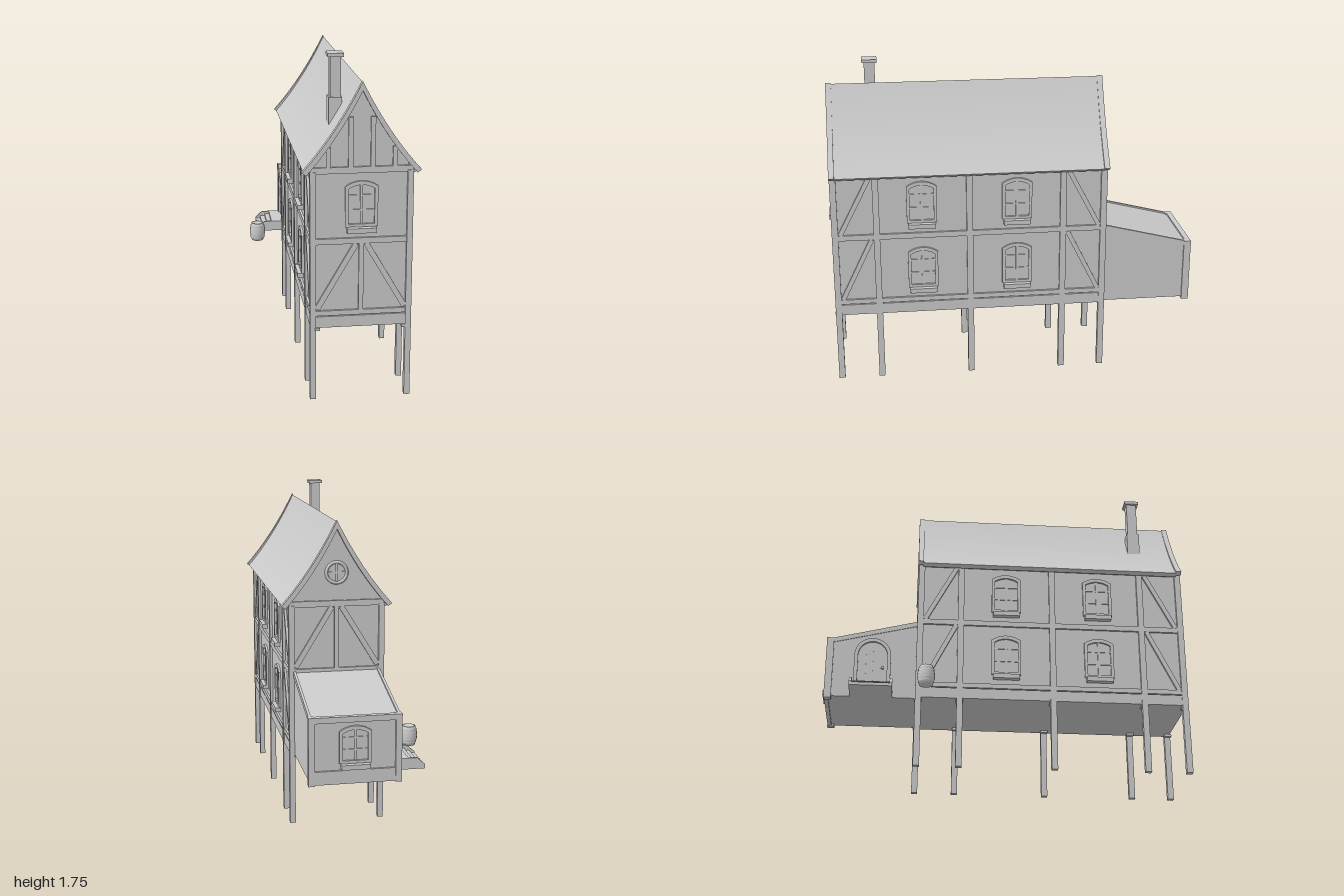
import * as THREE from 'three';
import { toCreasedNormals } from 'three/addons/utils/BufferGeometryUtils.js';

const mat = new THREE.MeshStandardMaterial({ color: 0xcccccc, side: THREE.DoubleSide });
const V = (x, y) => new THREE.Vector2(x, y);

function add(parent, name, geo) {
  const m = new THREE.Mesh(geo, mat);
  m.name = name;
  parent.add(m);
  return m;
}
// box given by its limits on each axis
function box(parent, name, x0, x1, y0, y1, z0, z1) {
  const m = add(parent, name, new THREE.BoxGeometry(x1 - x0, y1 - y0, z1 - z0));
  m.position.set((x0 + x1) / 2, (y0 + y1) / 2, (z0 + z1) / 2);
  return m;
}
function extrude(parent, name, shape, z0, z1) {
  const g = new THREE.ExtrudeGeometry(shape, { depth: z1 - z0, bevelEnabled: false, curveSegments: 16 });
  const m = add(parent, name, toCreasedNormals(g, 0.5));
  m.position.z = z0;
  return m;
}
// slanted timber between two points of a wall plane
function brace(parent, ax, ay, bx, by, w = 0.025) {
  const m = add(parent, 'brace', new THREE.BoxGeometry(w, Math.hypot(bx - ax, by - ay), 0.025));
  m.position.set((ax + bx) / 2, (ay + by) / 2, 0);
  m.rotation.z = -Math.atan2(bx - ax, by - ay);
}
// wall-plane group: local x along the wall, local z outwards
function face(parent, name, x, z, turn) {
  const g = new THREE.Group();
  g.name = name;
  g.position.set(x, 0, z);
  g.rotation.y = turn;
  parent.add(g);
  return g;
}
// opening with an arched head, base at y = 0
function arch(path, w, h, rise) {
  path.moveTo(-w, 0);
  path.lineTo(w, 0);
  path.lineTo(w, h - rise);
  const r = (w * w + rise * rise) / (2 * rise), a = Math.asin(Math.min(1, w / r));
  path.absarc(0, h - r, r, Math.PI / 2 - a, Math.PI / 2 + a, false);
  path.lineTo(-w, 0);
  return path;
}
function windowUnit(parent, x, y, h = 0.235) {
  const g = face(parent, 'window', x, 0, 0);
  g.position.y = y;
  const ring = arch(new THREE.Shape(), 0.082, h, 0.028);
  const hole = arch(new THREE.Path(), 0.065, h - 0.035, 0.02);
  hole.curves.forEach(() => {});
  ring.holes.push(new THREE.Path(hole.getPoints(12).map(p => V(p.x, p.y + 0.015))));
  extrude(g, 'windowFrame', ring, -0.012, 0.012);
  extrude(g, 'windowPane', arch(new THREE.Shape(), 0.072, h - 0.01, 0.025), -0.012, -0.002);
  box(g, 'mullion', -0.007, 0.007, 0.01, h - 0.02, -0.005, 0.007);
  for (const k of [0.36, 0.68]) box(g, 'glazingBar', -0.066, 0.066, h * k - 0.004, h * k + 0.004, -0.005, 0.005);
  box(g, 'windowSill', -0.074, 0.074, -0.028, -0.003, -0.012, 0.032);
}

function createModel() {
  const model = new THREE.Group();
  model.name = 'stiltHouse';
  const house = face(model, 'mainHouse', 0.075, 0, 0);
  const H = 0.243, O = 0.258;
  const postZ = [0.982, 0.757, 0.25, -0.265, -0.49];

  // Main body and timber belts
  box(house, 'walls', -H, H, 0.4, 1.22, -0.49, 0.982);
  box(house, 'groundBeam', -O + 0.004, O - 0.004, 0.388, 0.447, -0.5, 0.992);
  for (const s of [-1, 1]) {
    for (const z of postZ) {
      const a = s * (O - 0.03), b = s * O;
      box(house, 'stiltPost', Math.min(a, b), Math.max(a, b), 0, 1.2, z - 0.017, z + 0.017);
      const c = s * 0.22;
      box(house, 'joistEnd', c - 0.012, c + 0.012, 0.375, 0.39, z - 0.02, z + 0.02);
    }
  }
  for (const [y0, y1] of [[0.452, 0.478], [0.828, 0.858], [1.19, 1.222]])
    box(house, 'beltBeam', -O + 0.003, O - 0.003, y0, y1, -0.502, 0.994);

  // Long sides: windows in the middle bays, braces in the end bays
  for (const s of [-1, 1]) {
    const f = face(house, s > 0 ? 'leftWall' : 'rightWall', s * H, 0, s * Math.PI / 2);
    for (const [y0, y1] of [[0.478, 0.828], [0.858, 1.19]]) {
      for (const z of [0.51, -0.01]) windowUnit(f, -s * z, y0 + 0.058);
      brace(f, -s * 0.955, y0, -s * 0.785, y1);
      brace(f, s * 0.465, y0, s * 0.29, y1);
    }
  }
  // Front and back walls
  const front = face(house, 'frontWall', 0, 0.982, 0);
  const back = face(house, 'backWall', 0, -0.49, Math.PI);
  windowUnit(front, 0, 0.915);
  for (const [f, y0, y1] of [[front, 0.478, 0.828], [back, 0.858, 1.19]]) {
    box(f, 'middlePost', -0.012, 0.012, y0, y1, -0.012, 0.012);
    for (const s of [-1, 1]) brace(f, s * 0.222, y0 + 0.01, s * 0.025, y1, 0.028);
  }

  // Roof with a concave sweep
  const top = new THREE.QuadraticBezierCurve(V(0, 1.645), V(0.13, 1.385), V(0.297, 1.2)).getPoints(14);
  const under = new THREE.QuadraticBezierCurve(V(0, 1.6), V(0.115, 1.365), V(0.276, 1.185)).getPoints(14);
  const flip = pts => pts.map(p => V(-p.x, p.y));
  const roofShape = (dy, k) => {
    const t = top.map(p => V(p.x * k, p.y - dy)), u = under.map(p => V(p.x * k, p.y - dy));
    return new THREE.Shape([...flip(t).reverse(), ...t.slice(1), ...u.slice().reverse(), ...flip(u).slice(1)]);
  };
  extrude(house, 'roof', roofShape(0.006, 0.965), -0.485, 0.972);
  extrude(house, 'frontBargeBoard', roofShape(0, 1), 0.97, 1);
  extrude(house, 'backBargeBoard', roofShape(0, 1), -0.512, -0.482);
  const g = under.filter(p => p.x < H);
  const gable = new THREE.Shape([V(-H, 1.2), V(H, 1.2), ...g.slice().reverse(), ...flip(g).slice(1)]);
  extrude(house, 'gableWalls', gable, -0.49, 0.982);
  for (const x of [-0.165, -0.055, 0.055, 0.165]) {
    const p = under.find(q => q.x >= Math.abs(x));
    box(front, 'gableStud', x - 0.012, x + 0.012, 1.21, p.y, -0.012, 0.011);
  }
  // Round attic window
  const ring = add(back, 'roundWindowFrame', new THREE.TorusGeometry(0.055, 0.009, 6, 24));
  ring.position.set(0, 1.37, 0.004);
  box(back, 'roundWindowBar', -0.006, 0.006, 1.315, 1.425, -0.005, 0.008);
  box(back, 'roundWindowBar', -0.055, 0.055, 1.365, 1.375, -0.005, 0.006);

  // Chimney
  box(model, 'chimneyBase', -0.064, 0.004, 1.34, 1.53, 0.725, 0.797);
  box(model, 'chimneyShaft', -0.056, -0.002, 1.5, 1.735, 0.732, 0.79);
  box(model, 'chimneyCap', -0.07, 0.011, 1.732, 1.75, 0.72, 0.802);

  // Lean-to at the back, a side profile extruded across its width
  const lean = face(model, 'leanTo', 0.076, 0, Math.PI / 2);
  const slope = (name, lift, low, x0, x1) => extrude(lean, name, new THREE.Shape([
    V(0.48, low), V(0.985, low), V(0.985, 0.717 + lift), V(0.48, 0.845 + lift)]), x0, x1);
  slope('leanToWalls', 0, 0.388, -0.23, 0.23);
  lean.children[0].name = 'leanToBody';
  for (const x of [-0.234, 0.22]) {
    const rim = extrude(lean, 'roofEdge', new THREE.Shape([
      V(0.48, 0.825), V(0.985, 0.7), V(0.985, 0.726), V(0.48, 0.853)]), x, x + 0.014);
    rim.position.x = 0;
  }
  const rear = face(model, 'leanToBack', 0.076, -0.985, Math.PI);
  for (const s of [-1, 1]) box(rear, 'cornerPost', s * 0.223 - 0.016, s * 0.223 + 0.016, 0.375, 0.73, -0.025, 0.014);
  box(rear, 'topBeam', -0.239, 0.239, 0.7, 0.73, -0.015, 0.015);
  box(rear, 'bottomBeam', -0.235, 0.235, 0.38, 0.45, -0.01, 0.012);
  windowUnit(rear, 0, 0.485, 0.195);

  // Arched door and its steps
  const side = face(model, 'doorway', -0.154, -0.745, -Math.PI / 2);
  side.position.y = 0.44;
  const frame = arch(new THREE.Shape(), 0.1, 0.29, 0.0999);
  frame.holes.push(arch(new THREE.Path(), 0.08, 0.27, 0.0799));
  extrude(side, 'doorFrame', frame, -0.01, 0.018);
  extrude(side, 'door', arch(new THREE.Shape(), 0.082, 0.272, 0.0819), -0.01, 0.006);
  for (const x of [-0.04, 0, 0.04]) box(side, 'doorBatten', x - 0.004, x + 0.004, 0, 0.23, 0, 0.01);
  box(side, 'doorHandle', 0.05, 0.062, 0.11, 0.125, 0, 0.02);
  [[-0.235, 0.448], [-0.263, 0.434], [-0.292, 0.42], [-0.322, 0.405]].forEach(([x, y], i) =>
    box(model, 'step', x, i ? x + 0.032 : -0.15, 0.388, y, -0.86 + (i ? 0.014 : 0), -0.63 - (i ? 0.014 : 0)));
  for (const z of [-0.86, -0.644]) {
    const cheek = face(model, 'stepCheek', 0, z, 0);
    extrude(cheek, 'stepSide', new THREE.Shape([
      V(-0.322, 0.388), V(-0.16, 0.388), V(-0.16, 0.448), V(-0.28, 0.448), V(-0.322, 0.41)]), 0, 0.014);
  }

  // Barrel
  const barrel = face(model, 'barrel', -0.338, -0.452, 0);
  add(barrel, 'barrelStaves', new THREE.LatheGeometry([V(0, 0.392), V(0.035, 0.392), V(0.043, 0.415), V(0.047, 0.445),
    V(0.043, 0.475), V(0.036, 0.5), V(0.031, 0.5), V(0.031, 0.493), V(0, 0.493)], 18));
  for (const [y, r] of [[0.412, 0.043], [0.432, 0.047], [0.46, 0.047], [0.48, 0.043]]) {
    const hoop = add(barrel, 'barrelHoop', new THREE.CylinderGeometry(r, r, 0.007, 18, 1, true));
    hoop.position.y = y;
  }
  return model;
}

export { createModel };
